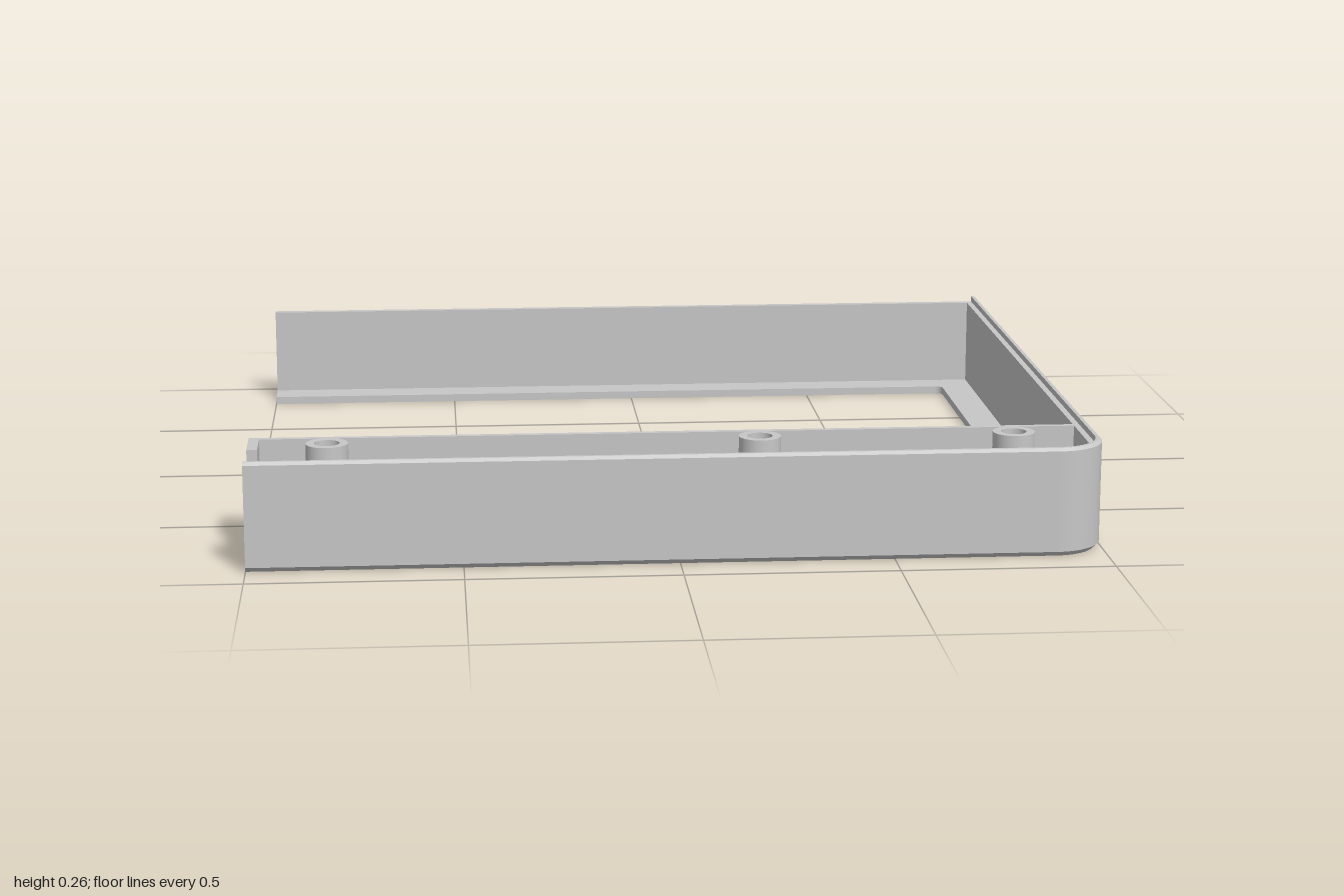
import * as THREE from 'three';

const FLOOR = 0.02, WALL_TOP = 0.245, FRONT = 0.912, BACK = -0.912, SIDE = 1, RADIUS = 0.12;

// Outer wall section as [inset, height], with chamfers and a stepped lip
const SECTION = [
  [0.012, 0], [0, 0.012], [0, 0.253], [0.007, 0.26],
  [0.015, 0.26], [0.015, WALL_TOP], [0.03, WALL_TOP], [0.03, 0],
];

// Stations along the front, round the corner and back along the side
function wallPath() {
  const cx = SIDE - RADIUS, cz = FRONT - RADIUS, path = [{ x: -1, z: cz, nx: 0, nz: 1 }];
  for (let i = 0; i <= 16; i++) {
    const a = (i / 16) * Math.PI / 2;
    path.push({ x: cx, z: cz, nx: Math.sin(a), nz: Math.cos(a) });
  }
  path.push({ x: cx, z: BACK, nx: 1, nz: 0 });
  return path;
}

// Sweep each section edge as its own band: crisp edges, smooth round the corner
function sweptWall() {
  const pos = [], nor = [], idx = [], path = wallPath();
  SECTION.forEach(([d0, y0], k) => {
    const [d1, y1] = SECTION[(k + 1) % SECTION.length];
    const len = Math.hypot(d1 - d0, y1 - y0);
    const out = (y1 - y0) / len, up = (d1 - d0) / len;
    const start = pos.length / 3;
    path.forEach((p, i) => {
      for (const [d, y] of [[d0, y0], [d1, y1]]) {
        pos.push(p.x + p.nx * (RADIUS - d), y, p.z + p.nz * (RADIUS - d));
        nor.push(p.nx * out, up, p.nz * out);
      }
      if (i > 0) {
        const a = start + 2 * (i - 1);
        idx.push(a, a + 2, a + 1, a + 1, a + 2, a + 3);
      }
    });
  });
  const g = new THREE.BufferGeometry();
  g.setAttribute('position', new THREE.Float32BufferAttribute(pos, 3));
  g.setAttribute('normal', new THREE.Float32BufferAttribute(nor, 3));
  g.setIndex(idx);
  return g;
}

function polygon(points) {
  return new THREE.Shape(points.map(([x, y]) => new THREE.Vector2(x, y)));
}

export function createModel() {
  const group = new THREE.Group();
  const grey = new THREE.MeshStandardMaterial({ color: 0xc7c7c7 });
  grey.name = 'light grey plastic';

  const add = (name, geometry, x = 0, y = 0, z = 0) => {
    const mesh = new THREE.Mesh(geometry, grey);
    mesh.name = name;
    mesh.position.set(x, y, z);
    group.add(mesh);
  };
  const box = (name, x0, x1, y0, y1, z0, z1) =>
    add(name, new THREE.BoxGeometry(x1 - x0, y1 - y0, z1 - z0),
      (x0 + x1) / 2, (y0 + y1) / 2, (z0 + z1) / 2);

  // C-shaped floor, drawn in plan with z as the second axis
  const inset = 0.03, x1 = SIDE - inset, z1 = FRONT - inset, r = RADIUS - inset;
  const ix = 0.888, izBack = -0.807, izFront = 0.535, ir = 0.02;
  const floor = new THREE.Shape();
  floor.moveTo(-1, BACK);
  floor.lineTo(x1, BACK);
  floor.lineTo(x1, z1 - r);
  floor.absarc(x1 - r, z1 - r, r, 0, Math.PI / 2, false);
  floor.lineTo(-1, z1);
  floor.lineTo(-1, izFront);
  floor.lineTo(ix - ir, izFront);
  floor.absarc(ix - ir, izFront - ir, ir, Math.PI / 2, 0, true);
  floor.lineTo(ix, izBack + ir);
  floor.absarc(ix - ir, izBack + ir, ir, 0, -Math.PI / 2, true);
  floor.lineTo(-1, izBack);
  const floorGeo = new THREE.ExtrudeGeometry(floor, { depth: FLOOR, bevelEnabled: false, curveSegments: 16 });
  floorGeo.rotateX(Math.PI / 2);
  add('floor', floorGeo, 0, FLOOR, 0);

  // Outer wall with its two open ends capped
  add('outerWall', sweptWall());
  const frontCap = new THREE.ShapeGeometry(polygon(SECTION.map(([d, y]) => [FRONT - d, y])));
  add('frontWallEnd', frontCap.rotateY(-Math.PI / 2), -1, 0, 0);
  const sideCap = new THREE.ShapeGeometry(polygon(SECTION.map(([d, y]) => [d - SIDE, y])));
  add('sideWallEnd', sideCap.rotateY(Math.PI), 0, 0, BACK);

  // Thin straight walls
  box('backWall', -1, x1, FLOOR, WALL_TOP, BACK, -0.892);
  box('innerWall', -0.975, x1, FLOOR, WALL_TOP, 0.611, 0.627);

  // Notched wall closing the end of the front channel
  const end = polygon([
    [0.611, FLOOR], [z1, FLOOR], [z1, WALL_TOP], [0.867, WALL_TOP],
    [0.867, 0.17], [0.73, 0.17], [0.73, WALL_TOP], [0.611, WALL_TOP],
  ]);
  const endGeo = new THREE.ExtrudeGeometry(end, { depth: 0.025, bevelEnabled: false });
  add('notchedEndWall', endGeo.rotateY(-Math.PI / 2), -0.975, 0, 0);

  // Hollow screw posts joined to the inner wall
  const ring = new THREE.Shape().absarc(0, 0, 0.05, 0, Math.PI * 2, false);
  ring.holes.push(new THREE.Path().absarc(0, 0, 0.03, 0, Math.PI * 2, true));
  const postGeo = new THREE.ExtrudeGeometry(ring, {
    depth: WALL_TOP - FLOOR, bevelEnabled: false, curveSegments: 24,
  }).rotateX(-Math.PI / 2);
  for (const x of [-0.815, 0.207, 0.815]) {
    add('screwPost', postGeo, x, FLOOR, 0.673);
    box('postRib', x - 0.03, x + 0.03, FLOOR, WALL_TOP - 0.002, 0.626, 0.638);
  }
  return group;
}
